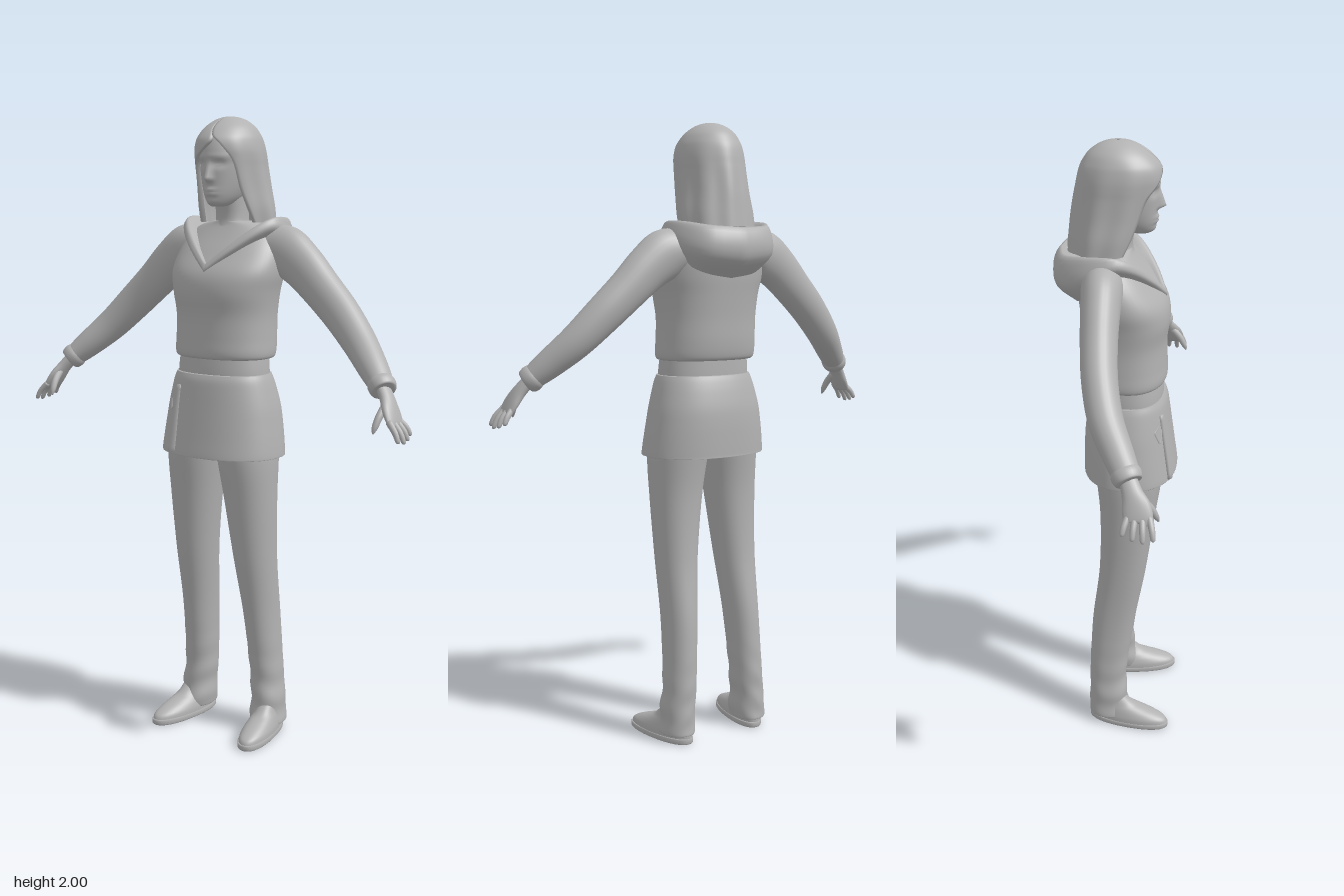
import * as THREE from 'three';

const grey = new THREE.MeshStandardMaterial({ color: 0xb2b2b2, side: THREE.DoubleSide });
grey.name = 'plain grey';

// Smoothly resamples a list of equal-length number rows.
function resample(rows, n) {
  const at = i => rows[Math.min(rows.length - 1, Math.max(0, i))];
  return Array.from({ length: n + 1 }, (_, k) => {
    const f = (k / n) * (rows.length - 1), i = Math.min(rows.length - 2, Math.floor(f)), t = f - i;
    return at(i).map((b, c) => {
      const a = at(i - 1)[c], d = at(i + 1)[c], e = at(i + 2)[c];
      return 0.5 * (2 * b + (d - a) * t + (2 * a - 5 * b + 4 * d - e) * t * t + (3 * b - a - 3 * d + e) * t ** 3);
    });
  });
}

// Skins closed rings of [x, y, z]; side -1 mirrors in x.
function loft(rings, side = 1, caps = true) {
  const m = rings[0].length, pos = [], idx = [];
  const tri = (a, b, c) => (side > 0 ? idx.push(a, b, c) : idx.push(a, c, b));
  rings.forEach(r => r.forEach(p => pos.push(p[0] * side, p[1], p[2])));
  for (let i = 0; i < rings.length - 1; i++)
    for (let j = 0; j < m; j++) {
      const a = i * m + j, b = i * m + (j + 1) % m;
      tri(a, b, b + m);
      tri(a, b + m, a + m);
    }
  if (caps) [0, rings.length - 1].forEach(i => {
    const c = [0, 1, 2].map(k => rings[i].reduce((s, p) => s + p[k], 0) / m), n = pos.length / 3;
    pos.push(c[0] * side, c[1], c[2]);
    for (let j = 0; j < m; j++) {
      const a = i * m + j, b = i * m + (j + 1) % m;
      if (i) tri(n, a, b); else tri(n, b, a);
    }
  });
  const g = new THREE.BufferGeometry();
  g.setAttribute('position', new THREE.Float32BufferAttribute(pos, 3));
  g.setIndex(idx);
  g.computeVertexNormals();
  return g;
}

const sgnPow = (v, p) => Math.sign(v) * Math.abs(v) ** p;

// Horizontal oval from a row [y, x0, x1, z0, z1].
function oval([y, x0, x1, z0, z1], m = 40, p = 0.88) {
  return Array.from({ length: m }, (_, j) => {
    const a = (j / m) * Math.PI * 2;
    return [(x0 + x1) / 2 + (x1 - x0) / 2 * sgnPow(Math.sin(a), p), y, (z0 + z1) / 2 + (z1 - z0) / 2 * sgnPow(Math.cos(a), p)];
  });
}
const sym = rows => rows.map(([y, w, z0, z1]) => [y, -w, w, z0, z1]);
const stack = (rows, n, m, p) => resample(rows, n).map(r => oval(r, m, p));

// Tapered limb through rows [x, y, z, thickness radius, width radius].
function limb(rows, n, m = 20) {
  const pts = resample(rows, n), V = r => new THREE.Vector3(r[0], r[1], r[2]);
  return pts.map((r, i) => {
    const d = V(pts[Math.min(n, i + 1)]).sub(V(pts[Math.max(0, i - 1)])).normalize();
    const v = new THREE.Vector3(0, 0, 1).addScaledVector(d, -d.z).normalize();
    const u = new THREE.Vector3().crossVectors(d, v);
    return Array.from({ length: m }, (_, j) => {
      const a = (j / m) * Math.PI * 2;
      return V(r).addScaledVector(u, r[3] * Math.sin(a)).addScaledVector(v, r[4] * Math.cos(a)).toArray();
    });
  });
}

export function createModel() {
  const model = new THREE.Group();
  const add = (name, geometry) => {
    const mesh = new THREE.Mesh(geometry, grey);
    mesh.name = name;
    model.add(mesh);
  };

  // Head: oval stack with nose, eye sockets, brow and lips pushed in or out
  const bump = (v, c, w) => Math.exp(-(((v - c) / w) ** 2));
  const head = stack(sym([[1.725, 0.02, 0.04, 0.095], [1.735, 0.035, 0, 0.108], [1.76, 0.053, -0.05, 0.116], [1.8, 0.068, -0.09, 0.119],
    [1.85, 0.076, -0.1, 0.122], [1.9, 0.078, -0.1, 0.122], [1.95, 0.065, -0.08, 0.1], [1.98, 0.03, -0.03, 0.05]]), 64, 80, 0.95);
  head.forEach(r => r.forEach(p => {
    if (p[2] < 0.04) return;
    const [x, y] = p, ax = Math.abs(x);
    const nose = y > 1.808 ? Math.max(0, 1 - (y - 1.808) / 0.06) : bump(y, 1.808, 0.008);
    p[2] += 0.025 * nose * bump(x, 0, 0.011) - 0.009 * bump(ax, 0.031, 0.016) * bump(y, 1.853, 0.011)
      + 0.004 * bump(ax, 0.031, 0.01) * bump(y, 1.851, 0.005) + 0.003 * bump(y, 1.875, 0.01)
      + 0.006 * bump(x, 0, 0.02) * (bump(y, 1.775, 0.006) + bump(y, 1.762, 0.006)) + 0.004 * bump(x, 0, 0.018) * bump(y, 1.738, 0.01);
  }));
  add('head', loft(head));
  add('neck', loft(stack(sym([[1.58, 0.07, -0.07, 0.075], [1.64, 0.058, -0.065, 0.06], [1.69, 0.049, -0.06, 0.045], [1.77, 0.05, -0.06, 0.06]]), 12)));

  // Hair: thick C-shaped rings [y, half width, back z, front z, left gap, right gap]
  const hairRows = resample([[1.675, 0.122, -0.155, 0.075, 1, 0.95], [1.72, 0.121, -0.15, 0.09, 0.9, 0.85], [1.78, 0.113, -0.143, 0.11, 0.82, 0.8],
    [1.84, 0.108, -0.133, 0.125, 0.78, 0.72], [1.87, 0.107, -0.127, 0.13, 0.7, 0.52], [1.895, 0.105, -0.122, 0.133, 0.55, 0.2],
    [1.92, 0.1, -0.115, 0.13, 0.35, -0.1], [1.94, 0.093, -0.105, 0.119, 0.12, -0.11], [1.965, 0.077, -0.087, 0.094, 0, 0],
    [1.985, 0.053, -0.06, 0.063, 0, 0], [1.996, 0.028, -0.032, 0.035, 0, 0], [2, 0.004, -0.004, 0.006, 0, 0]], 48);
  const hair = hairRows.map(([y, w, z0, z1, gl, gr]) => {
    const m = 64, ring = k => Array.from({ length: m + 1 }, (_, j) => {
      const a = gl + (j / m) * (Math.PI * 2 - gl - gr);
      const s = k * (1 + 0.025 * Math.sin(a * 9) * Math.min(1, Math.max(0, (1.97 - y) * 6)));
      return [w * s * Math.sin(a), y, (z0 + z1) / 2 + (z1 - z0) / 2 * s * Math.cos(a)];
    });
    return [...ring(1), ...ring(0.87).reverse()];
  });
  add('hair', loft(hair, 1, false));

  // Hooded top
  add('torso', loft(stack(sym([[1.253, 0.15, -0.07, 0.135], [1.256, 0.163, -0.088, 0.152], [1.275, 0.168, -0.097, 0.158], [1.32, 0.167, -0.103, 0.156],
    [1.39, 0.167, -0.106, 0.155], [1.46, 0.176, -0.112, 0.164], [1.52, 0.188, -0.118, 0.153], [1.58, 0.185, -0.12, 0.112],
    [1.63, 0.163, -0.115, 0.074], [1.665, 0.12, -0.09, 0.05], [1.68, 0.06, -0.06, 0.045]]), 50, 48)));

  // Hood: half-paths running from the neckline point round to the back
  const hoodPaths = [
    [[0, 1.515, 0.14], [0.075, 1.575, 0.095], [0.13, 1.62, 0.05], [0.15, 1.62, -0.01], [0.14, 1.56, -0.08], [0.09, 1.53, -0.115], [0, 1.515, -0.12]],
    [[0, 1.528, 0.152], [0.075, 1.588, 0.115], [0.14, 1.64, 0.062], [0.176, 1.655, 0], [0.172, 1.61, -0.09], [0.115, 1.58, -0.165], [0, 1.565, -0.188]],
    [[0, 1.54, 0.15], [0.07, 1.602, 0.113], [0.135, 1.66, 0.06], [0.172, 1.68, 0], [0.168, 1.66, -0.09], [0.112, 1.635, -0.172], [0, 1.625, -0.198]],
    [[0, 1.55, 0.142], [0.062, 1.607, 0.106], [0.122, 1.662, 0.055], [0.157, 1.69, 0], [0.152, 1.69, -0.08], [0.1, 1.678, -0.148], [0, 1.672, -0.172]],
    [[0, 1.545, 0.12], [0.05, 1.595, 0.09], [0.09, 1.635, 0.05], [0.115, 1.65, 0], [0.112, 1.64, -0.06], [0.075, 1.625, -0.105], [0, 1.62, -0.125]]];
  const hood = hoodPaths.map(path => {
    const half = resample(path, 28);
    return [...half, ...half.slice(1, -1).reverse().map(([x, y, z]) => [-x, y, z])].flat();
  });
  add('hood', loft(resample(hood, 16).map(r => Array.from({ length: r.length / 3 }, (_, i) => r.slice(i * 3, i * 3 + 3))), 1, false));

  // Waistband and flared apron with a turned-in hem
  const apronRows = sym([[0.965, 0.195, -0.09, 0.175], [0.945, 0.208, -0.104, 0.192], [0.952, 0.21, -0.105, 0.194], [1.0, 0.205, -0.105, 0.187],
    [1.05, 0.198, -0.104, 0.18], [1.1, 0.19, -0.1, 0.173], [1.15, 0.178, -0.09, 0.166], [1.185, 0.168, -0.08, 0.16], [1.205, 0.16, -0.072, 0.152]]);
  add('waistband', loft(stack(sym([[1.18, 0.156, -0.066, 0.148], [1.22, 0.155, -0.066, 0.146], [1.27, 0.15, -0.065, 0.14]]), 8, 48)));
  add('apron', loft(stack(apronRows, 40, 48)));

  // Apron front seams and hanging cloth, laid on the apron surface
  const onApron = (x, y, lift) => {
    const t = (y - 0.95) / 0.25, w = 0.21 - 0.045 * t, z0 = -0.105 + 0.03 * t, z1 = 0.194 - 0.038 * t;
    const s = Math.min(0.99, Math.abs(x) / w) ** (1 / 0.88);
    return new THREE.Vector3(x, y, (z0 + z1) / 2 + (z1 - z0) / 2 * Math.sqrt(1 - s * s) ** 0.88 + lift);
  };
  const seam = (name, pts, r) => add(name, new THREE.TubeGeometry(
    new THREE.CatmullRomCurve3(pts.map(([x, y]) => onApron(x, y, r * 0.3)), false, 'catmullrom', 0.1), 24, r, 8));
  seam('pocketSeam', [[-0.09, 1.16], [-0.05, 1.12], [0, 1.175], [0.05, 1.135], [0.1, 1.11]], 0.002);
  seam('apronTie', [[-0.09, 1.15], [-0.14, 1.12], [-0.13, 1.08], [-0.105, 1.13]], 0.004);
  add('hangingCloth', loft(limb([0.95, 1.02, 1.1, 1.165].map((y, i) => [...onApron(-0.108 + i * 0.003, y, 0).toArray(), 0.017 - i * 0.002, 0.009]), 10, 12)));

  for (const s of [1, -1]) {
    const side = s > 0 ? 'left' : 'right';
    const put = (name, rings) => add(side + name, loft(rings, s));

    // Sleeve and cuff
    put('Sleeve', limb([[0.12, 1.6, -0.032, 0.062, 0.065], [0.185, 1.588, -0.028, 0.08, 0.062], [0.25, 1.545, -0.025, 0.073, 0.058],
      [0.32, 1.48, -0.02, 0.065, 0.055], [0.4, 1.405, -0.008, 0.06, 0.053], [0.48, 1.325, 0.018, 0.053, 0.051],
      [0.55, 1.258, 0.06, 0.045, 0.046], [0.59, 1.22, 0.086, 0.037, 0.041]], 40, 28));
    put('Cuff', limb([[0.583, 1.227, 0.082, 0.036, 0.04], [0.593, 1.217, 0.088, 0.041, 0.045], [0.606, 1.203, 0.096, 0.038, 0.041], [0.609, 1.2, 0.098, 0.028, 0.032]], 10, 28));

    // Hand
    put('Palm', limb([[0.6, 1.21, 0.093, 0.019, 0.026], [0.625, 1.178, 0.108, 0.019, 0.03], [0.645, 1.145, 0.122, 0.017, 0.041], [0.663, 1.113, 0.13, 0.012, 0.041], [0.667, 1.106, 0.13, 0.005, 0.03]], 16));
    for (let k = 0; k < 4; k++) {
      const z = 0.13 + (k - 1.5) * 0.02, len = [0.8, 0.97, 1.05, 0.95][k], fan = (k - 1.5) * 0.006;
      put('Finger' + (k + 1), limb([[0.657, 1.123, z, 0.01, 0.01], [0.657 + 0.026 * len, 1.123 - 0.028 * len, z + fan, 0.009, 0.009],
        [0.657 + 0.039 * len, 1.123 - 0.053 * len, z + fan * 1.5, 0.007, 0.007], [0.657 + 0.041 * len, 1.123 - 0.059 * len, z + fan * 1.6, 0.002, 0.002]], 12, 10));
    }
    put('Thumb', limb([[0.628, 1.165, 0.127, 0.012, 0.013], [0.624, 1.135, 0.157, 0.011, 0.012], [0.62, 1.105, 0.175, 0.009, 0.009], [0.618, 1.088, 0.182, 0.002, 0.003]], 12, 10));

    // Trouser leg with soft folds near the ankle
    const leg = stack([[0.032, 0.094, 0.19, -0.076, 0.05], [0.035, 0.088, 0.196, -0.083, 0.057], [0.1, 0.088, 0.193, -0.08, 0.05], [0.2, 0.082, 0.184, -0.08, 0.045],
      [0.4, 0.07, 0.177, -0.071, 0.07], [0.6, 0.05, 0.181, -0.048, 0.105], [0.8, 0.025, 0.188, -0.045, 0.132],
      [0.95, 0.003, 0.19, -0.06, 0.153], [1.05, -0.01, 0.175, -0.075, 0.15]], 72, 36, 0.92);
    leg.forEach(r => r.forEach(p => {
      const f = 0.003 * Math.max(0, 1 - p[1] / 0.35) * Math.sin(p[1] * 70 + p[0] * 30);
      p[0] += f * Math.sign(p[0] - 0.14);
      p[2] += f;
    }));
    put('TrouserLeg', leg);

    // Shoe with sole, turned slightly outward
    const splay = rings => rings.map(r => r.map(([x, y, z]) => [x + z * 0.15, y, z]));
    put('Sole', splay([[0, 0.1, 0.197, -0.078, 0.19], [0.004, 0.097, 0.2, -0.081, 0.194], [0.016, 0.097, 0.2, -0.081, 0.194], [0.019, 0.1, 0.197, -0.079, 0.191]].map(r => oval(r, 36))));
    put('Shoe', splay(stack([[0.015, 0.099, 0.198, -0.079, 0.191], [0.032, 0.1, 0.197, -0.079, 0.183], [0.048, 0.104, 0.193, -0.077, 0.15],
      [0.062, 0.109, 0.189, -0.075, 0.11], [0.078, 0.114, 0.185, -0.07, 0.07], [0.11, 0.12, 0.18, -0.06, 0.035]], 20, 36, 0.92)));
  }
  return model;
}
